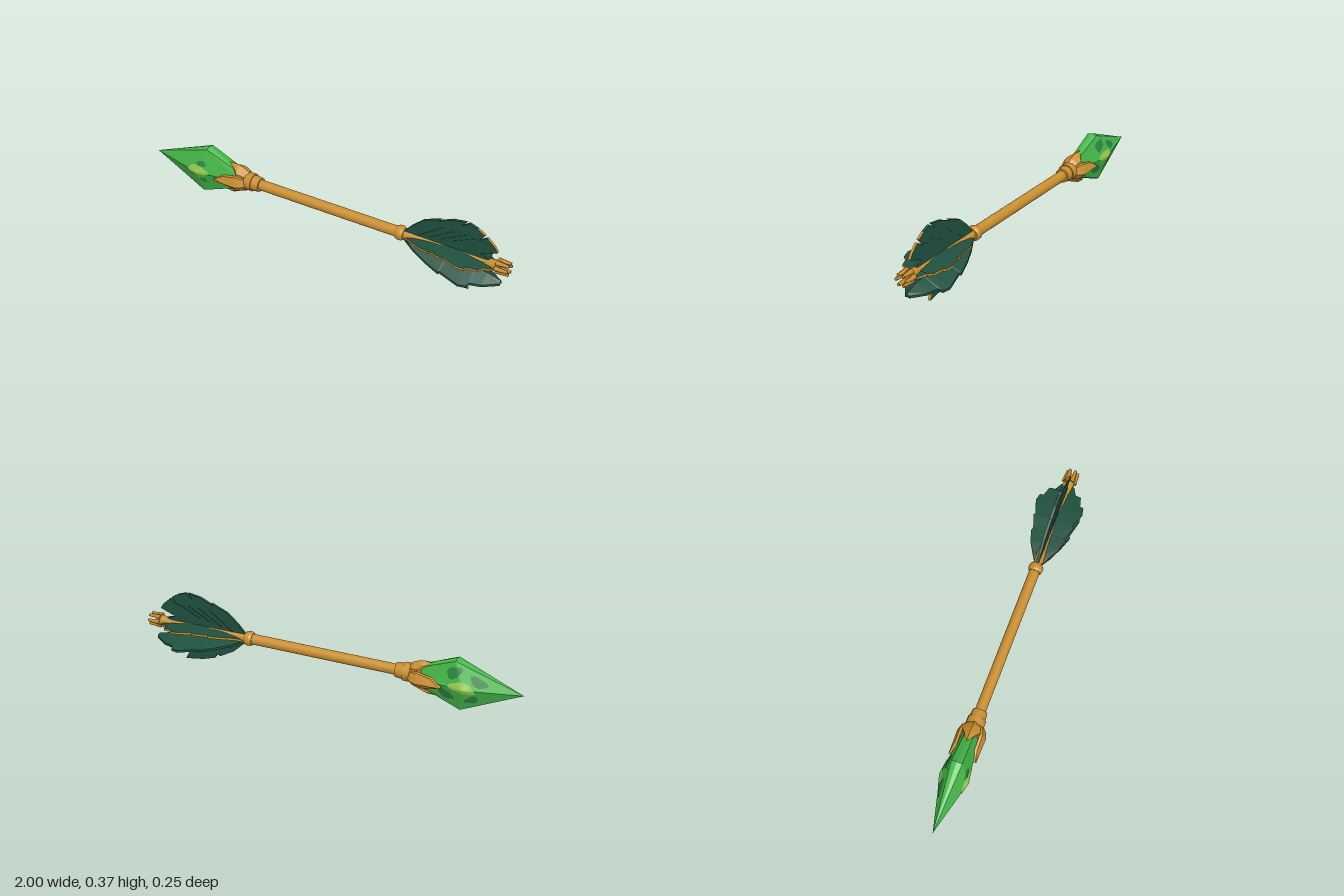
import * as THREE from 'three';

const mat = (name, color, side = THREE.FrontSide) => {
  const m = new THREE.MeshStandardMaterial({ color, side });
  m.name = name;
  return m;
};

export function createModel() {
  const gold = mat('gold', 0xc98f30);
  const feather = mat('feather green', 0x1f5040);
  const crystalGreen = mat('crystal green', 0x45b748);
  const paleGreen = mat('pale green', 0x96cc52, THREE.DoubleSide);
  const darkGreen = mat('dark crystal green', 0x2c8444, THREE.DoubleSide);

  const model = new THREE.Group();
  const arrow = new THREE.Group();
  arrow.name = 'arrow';
  arrow.position.y = 0.19;
  model.add(arrow);

  const add = (name, geo, material, parent = arrow) => {
    const m = new THREE.Mesh(geo, material);
    m.name = name;
    parent.add(m);
    return m;
  };

  // Round section along x
  const rod = (name, x0, x1, r0, r1 = r0, sides = 20) => {
    const g = new THREE.CylinderGeometry(r1, r0, x1 - x0, sides).rotateZ(-Math.PI / 2);
    return add(name, g.translate((x0 + x1) / 2, 0, 0), gold);
  };

  // Faceted skin over rings ordered along +x, each running from +z over the top to -z
  const loft = (rings) => {
    const pos = [], n = rings[0].length;
    const tri = (...p) => p.forEach((q) => pos.push(...q));
    for (let i = 0; i < rings.length - 1; i++) {
      for (let j = 0; j < n; j++) {
        const a = rings[i][j], b = rings[i][(j + 1) % n];
        const c = rings[i + 1][j], d = rings[i + 1][(j + 1) % n];
        tri(a, c, b);
        tri(b, c, d);
      }
    }
    const first = rings[0], last = rings[rings.length - 1];
    for (let j = 1; j < n - 1; j++) {
      tri(first[0], first[j], first[j + 1]);
      tri(last[0], last[j + 1], last[j]);
    }
    const g = new THREE.BufferGeometry();
    g.setAttribute('position', new THREE.Float32BufferAttribute(pos, 3));
    g.computeVertexNormals();
    return g;
  };

  // Thin leaf: rows of [x, half width, ridge height], edges dropping by a slope
  const leaf = (rows, slope, t) => loft(rows.map(([x, w, y]) => {
    const e = y - w * slope;
    return [[x, e, w], [x, y + t / 2, 0], [x, e, -w],
      [x, e - t, -w], [x, y - t, 0], [x, e - t, w]];
  }));

  // Second material on the triangles whose normal passes the test
  const split = (geo, test) => {
    geo.clearGroups();
    const nor = geo.attributes.normal;
    for (let i = 0; i < nor.count; i += 3) {
      geo.addGroup(i, 3, test(nor.getX(i), nor.getY(i), nor.getZ(i)) ? 1 : 0);
    }
    return geo;
  };

  // Crystal head
  const U = [-0.67, 0.123, 0.027], M = [-0.72, 0, 0.072], D = [-0.7, -0.13, 0.027], E = [-0.44, 0, 0.035];
  const flip = ([x, y, z]) => [x, y, -z];
  const tip = [-1, 0, 0];
  const ring = (m, u, d, ut, db) => [m, u, [u[0], ut, 0], flip(u), flip(m), flip(d), [d[0], db, 0], d];
  add('crystalHead', loft([
    Array(8).fill(tip),
    ring(M, U, D, 0.131, -0.139),
    ring(E, [-0.44, 0.03, 0.02], [-0.44, -0.03, 0.02], 0.032, -0.032),
  ]), crystalGreen);

  // Mottled patches laid on the crystal faces
  const v = (p) => new THREE.Vector3(...p);
  const planes = [[tip, M, U], [tip, D, M], [M, E, U], [M, D, E]]
    .map((f) => new THREE.Plane().setFromCoplanarPoints(...f.map(v)));
  const surfaceZ = (x, y) => Math.min(...planes.map(({ normal: n, constant: c }) => -(c + n.x * x + n.y * y) / n.z));
  const patch = (name, material, cx, cy, rx, ry, side, turn = 0) => {
    const g = new THREE.RingGeometry(0.001, 1, 14, 8);
    const p = g.attributes.position;
    for (let i = 0; i < p.count; i++) {
      const a = Math.atan2(p.getY(i), p.getX(i));
      const k = 1 + 0.15 * Math.sin(3 * a + cx * 40);
      const px = p.getX(i) * rx * k, py = p.getY(i) * ry * k;
      const x = cx + px * Math.cos(turn) - py * Math.sin(turn);
      const y = cy + px * Math.sin(turn) + py * Math.cos(turn);
      p.setXYZ(i, x, y, side * (surfaceZ(x, y) + 0.003));
    }
    g.computeVertexNormals();
    add(name, g, material);
  };
  for (const s of [1, -1]) patch('palePatch', paleGreen, -0.715, 0.005, 0.065, 0.027, s, 0.15);
  patch('darkPatch', darkGreen, -0.69, 0.048, 0.028, 0.014, 1);
  patch('darkPatch', darkGreen, -0.68, -0.045, 0.022, 0.013, 1);
  patch('darkPatch', darkGreen, -0.79, 0.04, 0.045, 0.02, -1, 0.4);
  patch('darkPatch', darkGreen, -0.67, 0.072, 0.04, 0.026, -1, -0.5);
  patch('darkPatch', darkGreen, -0.63, -0.045, 0.045, 0.025, -1, 0.5);
  patch('darkPatch', darkGreen, -0.76, -0.055, 0.035, 0.02, -1, -0.5);

  // Leaf-shaped prongs gripping the crystal: [turn about the shaft, tip x, tip radius]
  for (const [turn, x, r] of [[0, -0.55, 0.072], [1.8, -0.61, 0.066], [-1.8, -0.61, 0.066], [Math.PI, -0.575, 0.088]]) {
    const rows = [[x, 0.002, r], [x + 0.05, 0.03, r], [-0.485, 0.045, 0.068], [-0.455, 0.038, 0.058], [-0.43, 0.025, 0.036]];
    add('prong', leaf(rows, 0.45, 0.014), gold).rotation.x = turn;
  }

  // Collar, shaft and bindings
  rod('collarCup', -0.5, -0.44, 0.052, 0.04, 10);
  rod('collarRing', -0.455, -0.405, 0.046, 0.046, 12);
  rod('collarStep', -0.41, -0.365, 0.041, 0.037, 12);
  rod('shaft', -0.4, 0.45, 0.027);
  rod('featherBinding', 0.408, 0.422, 0.031, 0.037);
  rod('featherBinding', 0.422, 0.44, 0.037);
  rod('featherBinding', 0.44, 0.452, 0.037, 0.029);
  rod('rearShaft', 0.44, 0.88, 0.023, 0.018);
  rod('nockFlare', 0.87, 0.955, 0.018, 0.03, 12);

  // Crown of prongs at the nock
  for (let i = 0; i < 6; i++) {
    const g = new THREE.CylinderGeometry(0.008, 0.013, 0.065, 6).rotateZ(-Math.PI / 2);
    g.translate(0.9675, 0.027, 0);
    add('nockProng', g, gold).rotation.x = (i + 0.5) * Math.PI / 3;
  }

  // Upright feathers above and below the shaft
  const upright = (name, pts) => {
    const shape = new THREE.Shape(pts.map(([x, y]) => new THREE.Vector2(x, y)));
    const g = new THREE.ExtrudeGeometry(shape, { depth: 0.014, bevelEnabled: false }).translate(0, 0, -0.007);
    add(name, split(g, (nx, ny, nz) => nx > 0.45 && Math.abs(nz) < 0.5), [feather, gold]);
  };
  upright('topFeather', [[0.45, 0], [0.86, 0], [0.9, 0.025], [0.85, 0.04], [0.935, 0.073], [0.92, 0.098], [0.88, 0.135],
    [0.835, 0.108], [0.868, 0.145], [0.83, 0.168], [0.785, 0.184], [0.745, 0.157], [0.77, 0.185], [0.7, 0.174],
    [0.63, 0.142], [0.64, 0.155], [0.55, 0.118], [0.49, 0.065], [0.45, 0.02]]);
  upright('bottomFeather', [[0.45, 0], [0.45, -0.025], [0.52, -0.09], [0.6, -0.135], [0.615, -0.125], [0.63, -0.15],
    [0.7, -0.172], [0.8, -0.188], [0.775, -0.14], [0.83, -0.1], [0.8, -0.03], [0.8, 0]]);

  // Raised barbs on the upright feathers
  for (const side of [1, -1]) {
    for (let i = 0; i < 4; i++) {
      const b = add('barb', new THREE.BoxGeometry(0.16 - i * 0.01, 0.005, 0.019), feather);
      b.position.set(0.59 + i * 0.06, side * (0.068 + i * 0.006), 0);
      b.rotation.z = side * (0.62 - i * 0.06);
    }
  }

  // Spread feather lying level on both sides, gold underneath
  const level = [[0.45, 0.01, -0.01], [0.5, 0.042, 0.002], [0.56, 0.075, 0.008], [0.62, 0.092, 0.01], [0.625, 0.084, 0.01],
    [0.7, 0.108, 0.014], [0.705, 0.1, 0.014], [0.78, 0.125, 0.01], [0.82, 0.117, 0.004], [0.825, 0.098, 0.004],
    [0.875, 0.085, -0.002], [0.88, 0.055, -0.004], [0.92, 0.035, -0.008], [0.93, 0.01, -0.01]];
  add('levelFeather', split(leaf(level, -0.06, 0.012), (nx, ny) => ny < 0.3), [feather, gold]);

  // Roof-shaped feather drooping below the shaft
  const droop = [[0.45, 0.01, -0.01], [0.52, 0.045, -0.018], [0.6, 0.075, -0.026], [0.68, 0.098, -0.034], [0.685, 0.09, -0.036],
    [0.79, 0.111, -0.048], [0.83, 0.1, -0.054], [0.835, 0.08, -0.056], [0.89, 0.062, -0.066], [0.96, 0.012, -0.085]];
  add('droopingFeather', leaf(droop, 0.42, 0.012), feather);

  return model;
}
